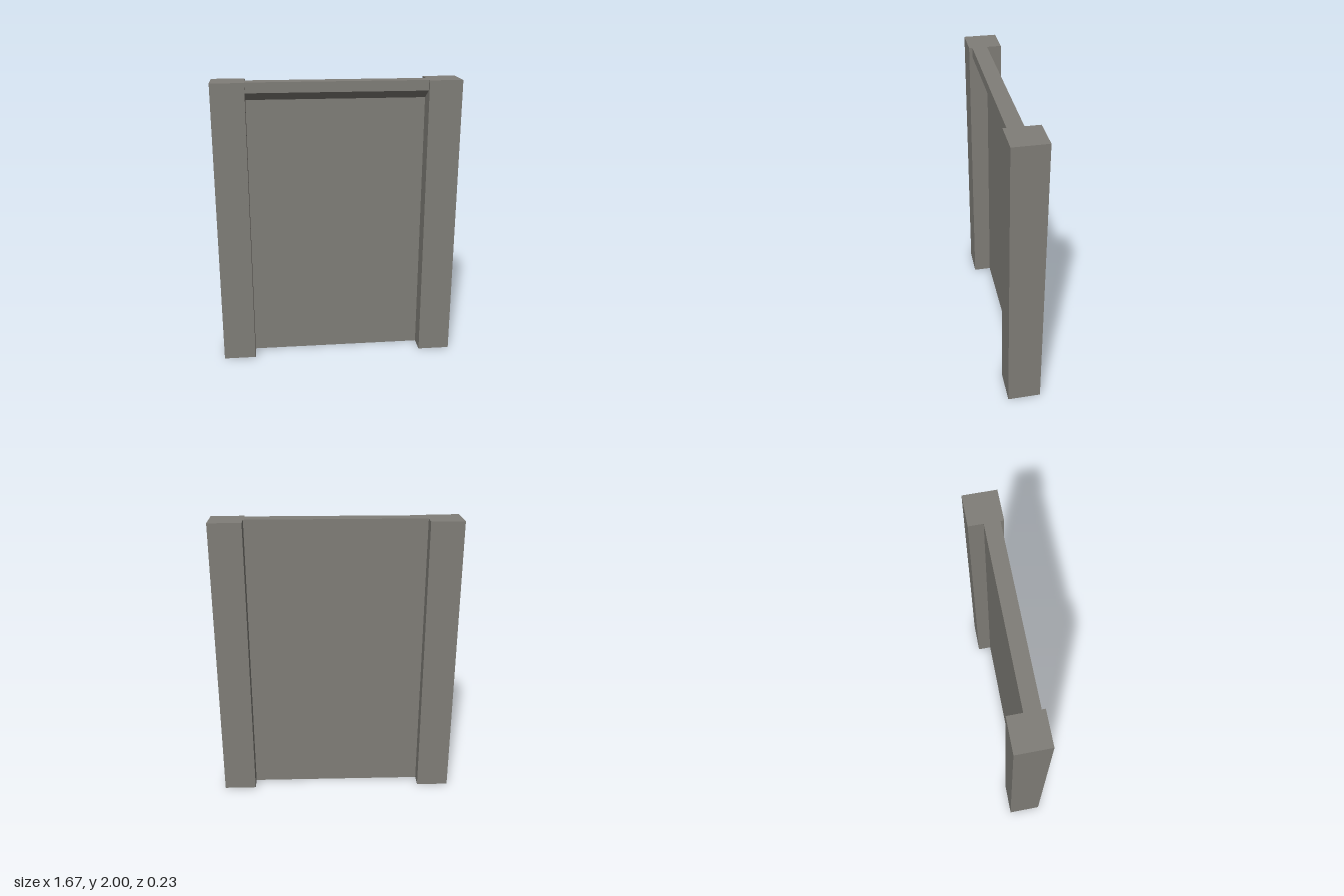
import * as THREE from 'three';

const HEIGHT = 2;
const OUTER = 0.835;   // half of the full width
const INNER = 0.61;    // half of the opening between the pillars
const DEPTH = 0.226;
const WALL_Z = -0.014;
const LINTEL_Z = 0.09;
const LINTEL_BASE = 1.87;

export function createModel() {
  const group = new THREE.Group();
  const stone = new THREE.MeshStandardMaterial({ color: 0x807e78, side: THREE.DoubleSide });
  stone.name = 'stone grey';

  const add = (name, geometry, x, y, z) => {
    const mesh = new THREE.Mesh(geometry, stone);
    mesh.name = name;
    mesh.position.set(x, y, z);
    group.add(mesh);
  };

  // Square pillars on both sides
  const pillar = new THREE.BoxGeometry(OUTER - INNER, HEIGHT, DEPTH);
  for (const side of [1, -1]) {
    add(side > 0 ? 'leftPillar' : 'rightPillar', pillar, side * (OUTER + INNER) / 2, HEIGHT / 2, 0);
  }

  // Thin wall sheet between the pillars
  add('wallPanel', new THREE.PlaneGeometry(INNER * 2, LINTEL_BASE), 0, LINTEL_BASE / 2, WALL_Z);

  // Lintel with a sloping underside: profile in (z, y), extruded along x
  const profile = new THREE.Shape([
    new THREE.Vector2(WALL_Z, LINTEL_BASE),
    new THREE.Vector2(LINTEL_Z, 1.93),
    new THREE.Vector2(LINTEL_Z, HEIGHT),
    new THREE.Vector2(WALL_Z, HEIGHT),
  ]);
  const lintel = new THREE.ExtrudeGeometry(profile, { depth: INNER * 2, bevelEnabled: false });
  lintel.rotateY(-Math.PI / 2);
  add('lintel', lintel, INNER, 0, 0);

  return group;
}
